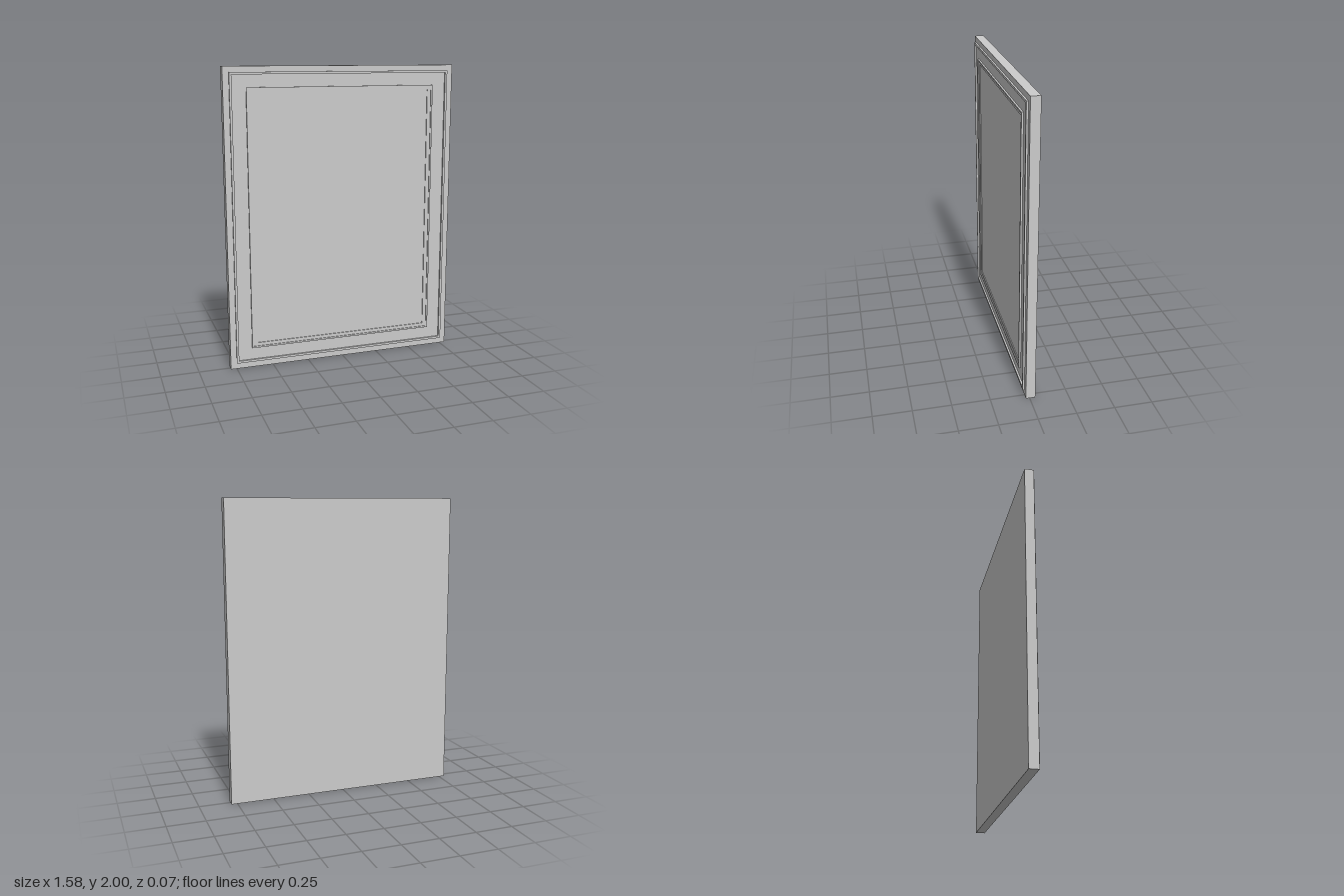
import * as THREE from 'three';

const W = 1.58, H = 2, BACK = -0.037, FACE = 0.025;

// Rectangle outline given by its half width and its bottom and top
function trace(path, [x, y0, y1]) {
  path.moveTo(-x, y0);
  path.lineTo(x, y0);
  path.lineTo(x, y1);
  path.lineTo(-x, y1);
  path.closePath();
  return path;
}

export function createModel() {
  const group = new THREE.Group();
  const material = new THREE.MeshStandardMaterial({ color: 0xcccccc });

  function add(name, geometry) {
    const mesh = new THREE.Mesh(geometry, material);
    mesh.name = name;
    group.add(mesh);
    return mesh;
  }

  // Raised rectangular strip standing on the front of the panel
  function strip(name, outer, inner, height) {
    const shape = trace(new THREE.Shape(), outer);
    shape.holes.push(trace(new THREE.Path(), inner));
    const geometry = new THREE.ExtrudeGeometry(shape, { depth: height, bevelEnabled: false });
    add(name, geometry).position.z = FACE;
  }

  // Flat slab
  const panel = add('panel', new THREE.BoxGeometry(W, H, FACE - BACK));
  panel.position.set(0, H / 2, (FACE + BACK) / 2);

  // Outer border, then the inner moulding stepping down to the centre
  strip('outerBorder', [0.75, 0.04, 1.963], [0.735, 0.055, 1.948], 0.012);
  strip('innerMouldingLip', [0.643, 0.136, 1.867], [0.632, 0.147, 1.857], 0.012);
  strip('innerMouldingStep', [0.632, 0.147, 1.857], [0.606, 0.169, 1.837], 0.006);

  return group;
}
